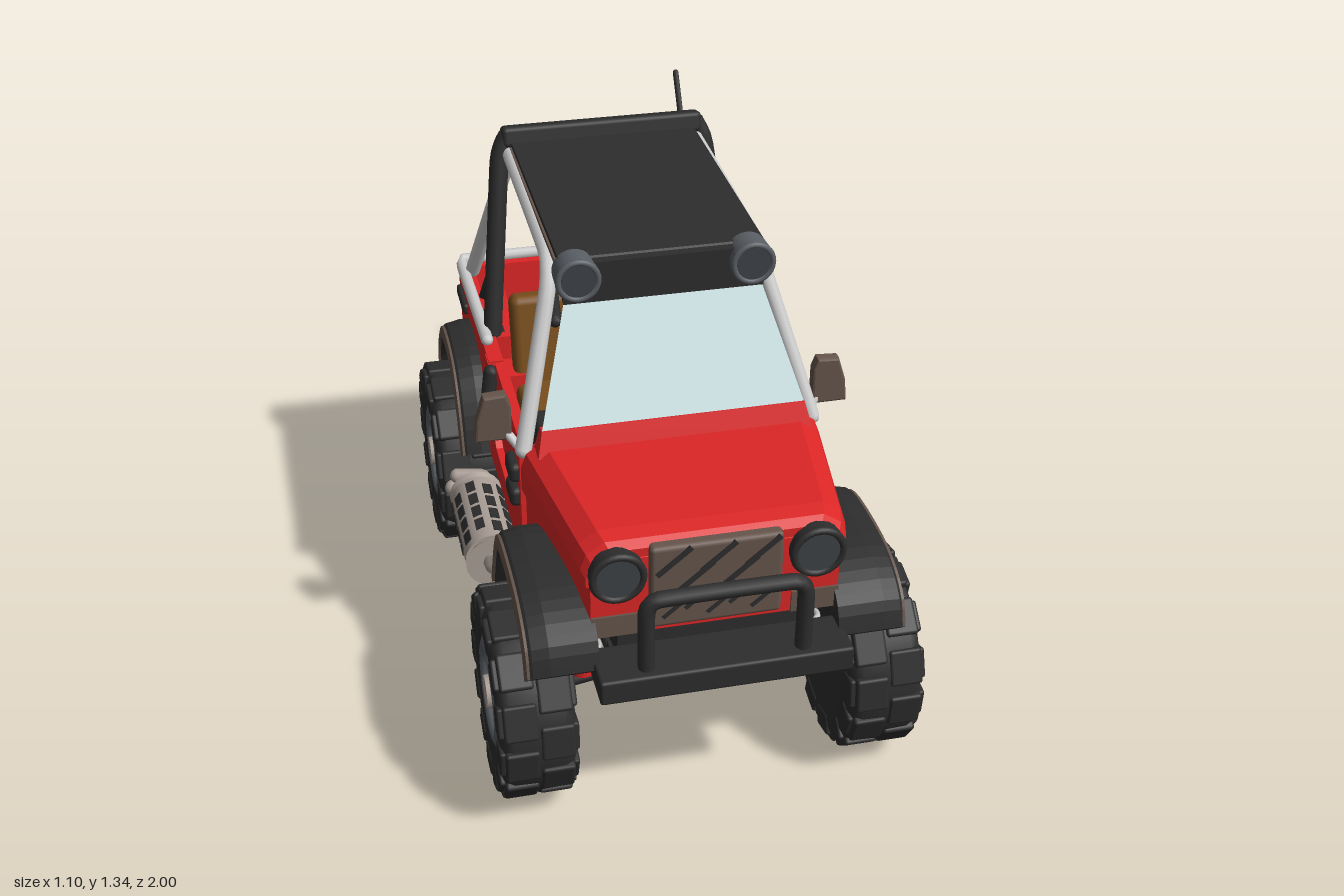
import * as THREE from 'three';
import { RoundedBoxGeometry } from 'three/addons/geometries/RoundedBoxGeometry.js';

const V = (p) => new THREE.Vector3(...p);
const mat = (name, color, side = THREE.FrontSide) => {
  const m = new THREE.MeshStandardMaterial({ color, side });
  m.name = name;
  return m;
};

export function createModel() {
  const car = new THREE.Group();
  car.name = 'offRoadCar';
  const red = mat('red paint', 0xdc2626);
  const black = mat('black rubber', 0x2d2d2d, THREE.DoubleSide);
  const brown = mat('brown trim', 0x66554b);
  const leather = mat('tan leather', 0x7a4e1e);
  const grey = mat('rim grey', 0x5a5f65);
  const lens = mat('lens grey', 0x3d4146);
  const silver = mat('light tube', 0xcccccc);
  const metal = mat('warm metal', 0xaa9e96);
  const glass = mat('pale glass', 0xcfe6e8, THREE.DoubleSide);

  const add = (name, geo, m, pos = [0, 0, 0], rot = [0, 0, 0], parent = car) => {
    const mesh = new THREE.Mesh(geo, m);
    mesh.name = name;
    mesh.position.set(...pos);
    mesh.rotation.set(...rot);
    parent.add(mesh);
    return mesh;
  };
  // box given by its min and max limits
  const box = (name, m, x, y, z, r = 0) => {
    const s = [x[1] - x[0], y[1] - y[0], z[1] - z[0]];
    const g = r ? new RoundedBoxGeometry(...s, 2, r) : new THREE.BoxGeometry(...s);
    return add(name, g, m, [(x[0] + x[1]) / 2, (y[0] + y[1]) / 2, (z[0] + z[1]) / 2]);
  };
  // tube with tight bends and closed ends
  const tube = (name, m, pts, r) => {
    const c = new THREE.CatmullRomCurve3(pts.map(V), false, 'catmullrom', 0.2);
    add(name, new THREE.TubeGeometry(c, pts.length * 8, r, 10), m);
    for (const p of [pts[0], pts[pts.length - 1]]) add(name + 'End', new THREE.SphereGeometry(r, 10, 6), m, p);
  };
  // plate drawn in (z, y) and extruded along x between x0 and x1
  const plate = (name, m, pts, x0, x1) => {
    const s = new THREE.Shape(pts.map((p) => new THREE.Vector2(p[0], p[1])));
    const g = new THREE.ExtrudeGeometry(s, { depth: x1 - x0, bevelEnabled: false });
    g.rotateY(-Math.PI / 2).translate(x1, 0, 0);
    return add(name, g, m);
  };
  const sidePlate = (name, m, pts, x0, x1) => {
    plate(name + 'Left', m, pts, x0, x1);
    plate(name + 'Right', m, pts, -x1, -x0);
  };
  // flat-faced loft through rings, each counterclockwise seen from the last one
  const loft = (name, m, rings) => {
    const v = [], n = rings[0].length;
    const tri = (...p) => p.forEach((q) => v.push(...q));
    for (let k = 0; k + 1 < rings.length; k++) for (let i = 0; i < n; i++) {
      const j = (i + 1) % n, a = rings[k], b = rings[k + 1];
      tri(a[i], a[j], b[j]);
      tri(a[i], b[j], b[i]);
    }
    const f = rings[rings.length - 1], r = rings[0];
    for (let i = 1; i + 1 < n; i++) { tri(f[0], f[i], f[i + 1]); tri(r[0], r[i + 1], r[i]); }
    const g = new THREE.BufferGeometry();
    g.setAttribute('position', new THREE.Float32BufferAttribute(v, 3));
    g.computeVertexNormals();
    return add(name, g, m);
  };

  // Hood: lower nose and the lid above its seam
  const ring = (z, w, yb, yt) => [[w, yb, z], [w, yt - 0.07, z], [w - 0.015, yt - 0.03, z], [w - 0.06, yt, z],
    [-w + 0.06, yt, z], [-w + 0.015, yt - 0.03, z], [-w, yt - 0.07, z], [-w, yb, z]];
  loft('noseBody', red, [ring(0.32, 0.385, 0.57, 0.82), ring(0.43, 0.375, 0.59, 0.84), ring(0.82, 0.32, 0.59, 0.82), ring(0.862, 0.31, 0.58, 0.80)]);
  loft('hoodLid', red, [ring(0.4, 0.398, 0.72, 0.857), ring(0.8, 0.34, 0.72, 0.85), ring(0.84, 0.33, 0.725, 0.842), ring(0.86, 0.32, 0.73, 0.825)]);

  // Grille with diagonal dark streaks
  add('grille', new RoundedBoxGeometry(0.33, 0.235, 0.04, 2, 0.012), brown, [-0.003, 0.715, 0.862]);
  for (let i = 0; i < 5; i++) {
    add('grilleStreak', new THREE.BoxGeometry(0.11, 0.014, 0.006), black, [-0.11 + i * 0.055, 0.79 - (i % 2) * 0.05, 0.882], [0, 0, 0.7]);
    add('grilleStreak', new THREE.BoxGeometry(0.07, 0.01, 0.006), black, [-0.11 + i * 0.055, 0.65 + (i % 2) * 0.02, 0.882], [0, 0, 0.7]);
  }

  // Windshield
  const g = new THREE.BufferGeometry();
  g.setAttribute('position', new THREE.Float32BufferAttribute([-0.345, 0.9, 0.426, 0.345, 0.9, 0.426, 0.255, 1.2, 0.288, -0.255, 1.2, 0.288], 3));
  g.setIndex([0, 1, 2, 0, 2, 3]);
  g.computeVertexNormals();
  add('windshield', g, glass);
  loft('windshieldFrame', red, [
    [[0.36, 0.84, 0.39], [0.345, 0.9, 0.395], [-0.345, 0.9, 0.395], [-0.36, 0.84, 0.39]],
    [[0.36, 0.84, 0.455], [0.345, 0.905, 0.428], [-0.345, 0.905, 0.428], [-0.36, 0.84, 0.455]]]);

  // Roof
  plate('roofPanel', black, [[0.28, 1.29], [0.27, 1.305], [-0.48, 1.31], [-0.48, 1.28], [0.25, 1.27]], -0.265, 0.265);
  plate('roofVisor', black, [[0.3, 1.19], [0.3, 1.3], [0.25, 1.3], [0.25, 1.21]], -0.26, 0.26);
  sidePlate('roofEdge', brown, [[0.24, 1.278], [0.24, 1.29], [-0.47, 1.297], [-0.47, 1.285]], 0.262, 0.271);
  add('rearRoofBar', new RoundedBoxGeometry(0.58, 0.06, 0.06, 2, 0.015), black, [0, 1.317, -0.49], [-0.25, 0, 0]);

  // Floor and chassis
  box('floor', black, [-0.37, 0.37], [0.45, 0.49], [-0.25, 0.36]);
  box('chassis', black, [-0.22, 0.22], [0.46, 0.5], [-0.79, 0.86]);
  box('engineBay', black, [-0.24, 0.24], [0.47, 0.6], [0.34, 0.84]);
  box('rearFloor', red, [-0.26, 0.26], [0.5, 0.52], [-0.82, -0.24]);
  box('seatBase', red, [-0.35, 0.35], [0.49, 0.58], [-0.34, -0.05]);
  box('bulkhead', red, [-0.355, 0.355], [0.5, 0.755], [-0.375, -0.345]);

  // Tub sides, with a wheel cutout at the back
  const rearArch = [[-0.235, 0.43], [-0.28, 0.54], [-0.35, 0.63], [-0.45, 0.675], [-0.6, 0.675], [-0.7, 0.63], [-0.765, 0.54], [-0.8, 0.43]];
  const frontArch = [[0.925, 0.53], [0.9, 0.6], [0.83, 0.65], [0.72, 0.675], [0.53, 0.67], [0.43, 0.63], [0.37, 0.53], [0.315, 0.42]];
  const shrink = (pts, zc, k) => pts.map(([z, y]) => [zc + (z - zc) * k, 0.28 + (y - 0.28) * k]);
  sidePlate('doorPanel', red, [[0.34, 0.47], [0.34, 0.79], [0.22, 0.755], [-0.22, 0.755], [-0.22, 0.47]], 0.345, 0.375);
  sidePlate('sill', red, [[0.36, 0.46], [0.36, 0.8], [0.25, 0.77], [0.23, 0.6], [0.19, 0.53], [-0.1, 0.53], [-0.18, 0.6], [-0.2, 0.755],
    [-0.26, 0.755], [-0.26, 0.43]], 0.35, 0.395);
  sidePlate('rearQuarter', red, [[-0.2, 0.76], [-0.2, 0.43], ...shrink(rearArch, -0.52, 0.96), [-0.8, 0.42], [-0.845, 0.76]], 0.35, 0.392);
  plate('tailgate', red, [[-0.8, 0.76], [-0.845, 0.76], [-0.835, 0.6], [-0.8, 0.42], [-0.77, 0.42], [-0.79, 0.6]], -0.391, 0.391);
  add('rearBumper', new RoundedBoxGeometry(0.8, 0.125, 0.07, 2, 0.02), metal, [0, 0.4, -0.84], [0.15, 0, 0]);

  // Seat, dashboard and steering wheel
  add('seatBack', new RoundedBoxGeometry(0.62, 0.33, 0.075, 2, 0.025), leather, [0, 0.735, -0.3], [-0.2, 0, 0]);
  box('seatCushion', leather, [-0.31, 0.31], [0.57, 0.65], [-0.28, -0.04], 0.025);
  box('dashTop', black, [-0.345, 0.345], [0.73, 0.865], [0.25, 0.41], 0.015);
  box('dashFace', leather, [-0.34, 0.34], [0.66, 0.755], [0.235, 0.3], 0.012);
  for (const x of [-0.2, -0.12, -0.04]) box('dashVent', black, [x - 0.03, x + 0.03], [0.7, 0.715], [0.231, 0.237]);
  const wheelAt = [0.22, 0.79, 0.165];
  add('steeringWheel', new THREE.TorusGeometry(0.078, 0.012, 8, 24), black, wheelAt, [0.65, 0, 0]);
  add('steeringHub', new THREE.CylinderGeometry(0.03, 0.03, 0.024, 12), silver, wheelAt, [Math.PI / 2 + 0.65, 0, 0]);
  for (const a of [0, 1]) add('steeringSpoke', new THREE.BoxGeometry(0.14, 0.016, 0.01), silver, wheelAt, [0.65, 0, a * Math.PI / 2]);
  tube('steeringColumn', black, [wheelAt, [0.22, 0.73, 0.28]], 0.015);

  // Front bumper, winch and bull bar
  box('frontBumper', black, [-0.315, 0.315], [0.48, 0.548], [0.86, 1.0], 0.008);
  box('winchMount', black, [-0.145, 0.145], [0.385, 0.48], [0.8, 0.88]);
  box('crossMember', black, [-0.25, 0.25], [0.38, 0.48], [0.76, 0.8]);
  tube('bullBar', black, [[-0.195, 0.53, 0.96], [-0.195, 0.71, 0.96], [-0.165, 0.745, 0.96], [0.165, 0.745, 0.96], [0.195, 0.71, 0.96], [0.195, 0.53, 0.96]], 0.021);

  // Rail around the rear tub, and aerial
  tube('tubRail', silver, [[0.38, 0.77, -0.31], [0.385, 0.77, -0.8], [0.35, 0.77, -0.84], [-0.35, 0.77, -0.84], [-0.385, 0.77, -0.8], [-0.38, 0.77, -0.31]], 0.018);
  tube('aerial', black, [[0.34, 0.78, -0.8], [0.34, 0.91, -0.83], [0.34, 1.05, -0.875], [0.34, 1.17, -0.93], [0.34, 1.27, -0.992]], 0.009);

  // Axles drooping from the differentials, front tie rod
  for (const z of [0.65, -0.52]) {
    tube('axle', black, [[-0.37, 0.275, z], [0, 0.33, z], [0.37, 0.275, z]], 0.02);
    add('differential', new THREE.SphereGeometry(0.07, 20, 12), black, [0, 0.325, z]);
  }
  add('tieRod', new THREE.CylinderGeometry(0.014, 0.014, 0.7, 8), metal, [0, 0.355, 0.57], [0, 0, Math.PI / 2]);
  tube('driveShaft', black, [[0, 0.35, 0.6], [0, 0.4, 0.1], [0, 0.35, -0.5]], 0.025);

  // Wheel, built about the x axis with its outer face on +x
  const tyreProfile = [[0.14, 0.07], [0.15, 0.088], [0.19, 0.097], [0.23, 0.096], [0.255, 0.086], [0.267, 0.065], [0.269, 0],
    [0.267, -0.065], [0.255, -0.086], [0.23, -0.096], [0.19, -0.097], [0.14, -0.08], [0.02, -0.05]];
  const rimProfile = [[0.02, 0.03], [0.098, 0.03], [0.106, 0.085], [0.125, 0.096], [0.146, 0.088], [0.15, 0.06]];
  const lathe = (p) => new THREE.LatheGeometry(p.slice().reverse().map(([r, h]) => new THREE.Vector2(r, h)), 40);
  const wheel = (x, z) => {
    const w = new THREE.Group();
    w.name = 'wheel';
    const put = (n, geo, m, p, r) => add(n, geo, m, p, r, w);
    const turn = [0, 0, -Math.PI / 2];
    put('tyre', lathe(tyreProfile), black, [0, 0, 0], turn);
    put('rim', lathe(rimProfile), grey, [0, 0, 0], turn);
    put('wheelDish', new THREE.CylinderGeometry(0.104, 0.104, 0.03, 24), lens, [0.035, 0, 0], turn);
    put('hubRing', new THREE.CylinderGeometry(0.06, 0.068, 0.03, 20), grey, [0.055, 0, 0], turn);
    put('hub', new THREE.CylinderGeometry(0.043, 0.05, 0.06, 20), metal, [0.07, 0, 0], turn);
    for (let i = 0; i < 13; i++) for (const s of [-1, 1]) {
      const a = (i + (s > 0 ? 0.5 : 0)) * Math.PI * 2 / 13;
      const at = (r, px) => [px, r * Math.cos(a), r * Math.sin(a)];
      put('treadLug', new RoundedBoxGeometry(0.085, 0.024, 0.095, 2, 0.008), black, at(0.261, s * 0.045), [a, 0, 0]);
      put('shoulderLug', new RoundedBoxGeometry(0.018, 0.06, 0.08, 2, 0.007), black, at(0.225, s * 0.092), [a, 0, 0]);
    }
    w.position.set(x, 0.28, z);
    if (x < 0) w.rotation.y = Math.PI;
    car.add(w);
  };

  // Fender swept along its arch; section points are (x, scale about the wheel centre)
  const fender = (name, m, pts, zc, s, section) => {
    const path = new THREE.SplineCurve(pts.map((p) => new THREE.Vector2(...p))).getPoints(21);
    const rings = path.map((p) => section.map(([x, k]) => [s * x, 0.28 + (p.y - 0.28) * k, zc + (p.x - zc) * k]));
    loft(name, m, s > 0 ? rings : rings.map((r) => r.reverse()));
  };

  // Everything mirrored left and right
  for (const s of [1, -1]) {
    const X = (pts) => pts.map(([x, y, z]) => [s * x, y, z]);
    for (const [pts, z] of [[frontArch, 0.65], [rearArch, -0.52]]) {
      fender('fender', black, pts, z, s, [[0.3, 1], [0.42, 1], [0.462, 0.978], [0.473, 0.955], [0.475, 0.84], [0.3, 0.84]]);
      fender('fenderLip', brown, pts, z, s, [[0.46, 0.965], [0.476, 0.962], [0.481, 0.92], [0.481, 0.885], [0.46, 0.885]]);
      wheel(s * 0.45, z);
      // Shock absorber with coil
      add('shock', new THREE.CylinderGeometry(0.032, 0.032, 0.29, 14), red, [s * 0.293, 0.45, z]);
      const coil = [];
      for (let i = 0; i <= 60; i++) coil.push(V([s * 0.293 + 0.043 * Math.cos(i * 0.47), 0.33 + i * 0.0042, z + 0.043 * Math.sin(i * 0.47)]));
      add('coilSpring', new THREE.TubeGeometry(new THREE.CatmullRomCurve3(coil), 120, 0.008, 6), silver);
      tube('controlArm', black, X([[0.2, 0.31, z], [0.25, 0.42, z > 0 ? 0.27 : -0.18]]), 0.018);
    }
    box('noseTrim', brown, s > 0 ? [0.19, 0.31] : [-0.31, -0.19], [0.58, 0.64], [0.85, 0.868]);
    box('wheelWell', red, s > 0 ? [0.26, 0.36] : [-0.36, -0.26], [0.61, 0.68], [-0.8, -0.24]);
    box('wellWall', red, s > 0 ? [0.235, 0.25] : [-0.25, -0.235], [0.5, 0.63], [-0.8, -0.24]);

    // Cage tubes
    tube('frontPillar', silver, X([[0.385, 0.82, 0.37], [0.285, 1.19, 0.21], [0.27, 1.255, 0.12], [0.27, 1.275, -0.46]]), 0.022);
    tube('rearStay', silver, X([[0.27, 1.27, -0.47], [0.36, 0.78, -0.74]]), 0.022);
    tube('mainHoop', black, X([[0.275, 1.315, -0.49], [0.3, 1.25, -0.475], [0.355, 0.76, -0.37]]), 0.027);
    tube('hoopBrace', black, X([[0.33, 0.97, -0.41], [0.345, 0.76, -0.6]]), 0.017);
    tube('grabBar', black, X([[0.25, 1.26, 0.06], [0.25, 1.17, 0.09], [0.26, 1.13, 0.13], [0.27, 1.11, 0.23]]), 0.018);

    // Lamps
    const lamp = (n, x, y, z, r, d, m) => {
      add(n, new THREE.CylinderGeometry(r, r * 0.95, d, 24), m, [s * x, y, z], [Math.PI / 2, 0, 0]);
      add(n + 'Rim', new THREE.TorusGeometry(r * 0.88, r * 0.14, 8, 28), m, [s * x, y, z + d / 2]);
      add(n + 'Lens', new THREE.CylinderGeometry(r * 0.76, r * 0.76, 0.008, 24), lens, [s * x, y, z + d / 2], [Math.PI / 2, 0, 0]);
    };
    lamp('headlight', 0.247, 0.765, 0.86, 0.07, 0.05, black);
    lamp('roofLight', 0.225, 1.265, 0.288, 0.058, 0.07, grey);
    add('tailLightFrame', new RoundedBoxGeometry(0.07, 0.12, 0.03, 2, 0.01), black, [s * 0.32, 0.64, -0.845]);
    add('tailLight', new THREE.BoxGeometry(0.042, 0.085, 0.008), red, [s * 0.32, 0.64, -0.859]);

    // Mirror
    const shape = new THREE.Shape([[0.41, 0.825], [0.495, 0.825], [0.49, 0.88], [0.47, 0.945], [0.42, 0.948], [0.41, 0.92]].map(([x, y]) => new THREE.Vector2(s * x, y)));
    add('mirrorShell', new THREE.ExtrudeGeometry(shape, { depth: 0.02, bevelSize: 0.006, bevelThickness: 0.008, bevelSegments: 2 }), brown, [0, 0, 0.285]);
    const face = add('mirrorGlass', new THREE.ShapeGeometry(shape), glass, [s * 0.454 * 0.18, 0.885 * 0.18, 0.275]);
    face.scale.set(0.82, 0.82, 1);
    tube('mirrorArm', silver, X([[0.375, 0.78, 0.33], [0.42, 0.84, 0.3]]), 0.012);

    // Hinges, door grip and rear handle
    for (const y of [0.725, 0.65]) add('hinge', new RoundedBoxGeometry(0.04, 0.055, 0.09, 2, 0.016), black, [s * 0.4, y, 0.295]);
    tube('doorGrip', black, X([[0.39, 0.735, -0.185], [0.4, 0.66, -0.18], [0.4, 0.625, -0.15], [0.39, 0.615, -0.09]]), 0.021);
    add('rearHandle', new RoundedBoxGeometry(0.025, 0.035, 0.15, 2, 0.01), black, [s * 0.395, 0.69, -0.725]);

    // Slotted side canister and its pipes
    const cx = 0.457, cy = 0.364;
    add('canister', new THREE.CylinderGeometry(0.076, 0.076, 0.3, 24), metal, [s * cx, cy, 0.045], [Math.PI / 2, 0, 0]);
    for (const z of [0.2, -0.115]) add('canisterCap', new THREE.CylinderGeometry(z > 0 ? 0.062 : 0.077, z > 0 ? 0.077 : 0.062, 0.03, 24), metal, [s * cx, cy, z], [-Math.PI / 2, 0, 0]);
    for (let i = 0; i < 10; i++) for (let k = 0; k < 4; k++) {
      const a = (i + 0.5) * Math.PI / 5;
      add('canisterSlot', new THREE.BoxGeometry(0.026, 0.006, 0.046), black,
        [s * cx + 0.075 * Math.sin(a), cy + 0.075 * Math.cos(a), 0.145 - k * 0.062 - (i % 2) * 0.02], [0, 0, -a]);
    }
    tube('canisterInlet', metal, X([[cx, cy, 0.2], [cx, cy + 0.01, 0.24], [0.42, 0.41, 0.26], [0.34, 0.45, 0.26]]), 0.028);
    tube('canisterOutlet', metal, X([[cx, cy - 0.03, -0.12], [cx, cy - 0.03, -0.19], [0.49, cy - 0.03, -0.215], [0.515, cy - 0.03, -0.22]]), 0.024);
    tube('canisterTailPipe', metal, X([[cx - 0.03, cy + 0.01, -0.12], [cx - 0.03, cy + 0.01, -0.2], [0.5, cy + 0.01, -0.22]]), 0.022);
  }
  return car;
}
